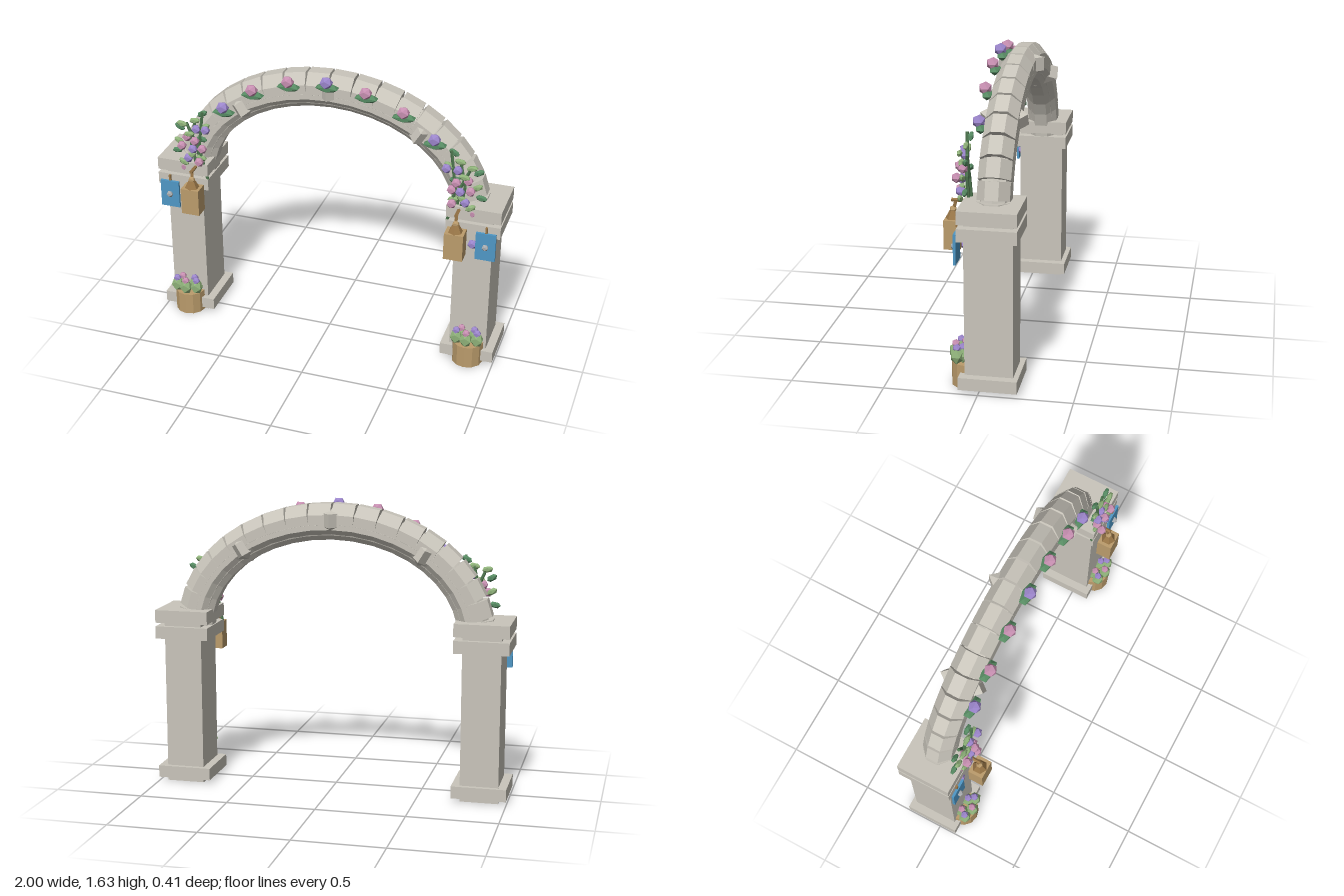
import * as THREE from 'three';

const mat = (name, color, extra = {}) => new THREE.MeshStandardMaterial({ name, color, ...extra });
const stone = mat('stone', 0xc9c5bb);
const tan = mat('tan wood', 0xbb9c6c);
const brown = mat('brown wood', 0x9a7748);
const leafGreen = mat('leaf green', 0x8fb27a);
const deepGreen = mat('deep green', 0x568a62);
const stemGreen = mat('stem green', 0x4f7850);
const pink = mat('pink', 0xc890b2);
const purple = mat('purple', 0x9c86cc);
const blue = mat('blue', 0x4f98c6);
const grey = mat('grey metal', 0xa9adb0);

// Faceted mesh: every face keeps its own normal
function part(parent, name, geometry, material, x = 0, y = 0, z = 0) {
  const g = geometry.index ? geometry.toNonIndexed() : geometry;
  g.computeVertexNormals();
  const mesh = new THREE.Mesh(g, material);
  mesh.name = name;
  mesh.position.set(x, y, z);
  parent.add(mesh);
  return mesh;
}
const box = (w, h, d) => new THREE.BoxGeometry(w, h, d);
const cyl = (a, b, h, n) => new THREE.CylinderGeometry(a, b, h, n);
const ball = (r, sx = 1, sy = 1, sz = 1) => new THREE.IcosahedronGeometry(r, 0).scale(sx, sy, sz);

// Thin rod between two points
function rod(parent, name, a, b, r, material) {
  const p = new THREE.Vector3(...a), q = new THREE.Vector3(...b);
  const mesh = part(parent, name, cyl(r, r, p.distanceTo(q), 5), material);
  mesh.position.copy(p).add(q).multiplyScalar(0.5);
  mesh.quaternion.setFromUnitVectors(new THREE.Vector3(0, 1, 0), q.sub(p).normalize());
}

const ARCH_Z = -0.055, SPRING = 0.9;

// Elliptical centre line of the arch
class ArchCurve extends THREE.Curve {
  constructor(a, b) { super(); this.a = a; this.b = b; }
  getPoint(u, target = new THREE.Vector3()) {
    const t = (u - 0.5) * Math.PI;
    return target.set(this.a * Math.sin(t), SPRING + this.b * Math.cos(t), ARCH_Z);
  }
}

function buildArch(root) {
  const arch = new THREE.Group();
  arch.name = 'arch';
  root.add(arch);
  part(arch, 'archCore', new THREE.TubeGeometry(new ArchCurve(0.79, 0.603), 60, 0.086, 8), stone);

  // Straight octagonal blocks, leaving narrow joints on the outside
  const n = 20, step = Math.PI / n, a = 0.8, b = 0.615;
  for (let i = 0; i < n; i++) {
    const t = -Math.PI / 2 + (i + 0.5) * step;
    const dx = a * Math.cos(t), dy = -b * Math.sin(t);
    const g = cyl(0.108, 0.108, Math.hypot(dx, dy) * step, 8).rotateY(Math.PI / 8).scale(1, 1, 0.86);
    part(arch, 'archBlock', g, stone, a * Math.sin(t), SPRING + b * Math.cos(t), ARCH_Z)
      .rotation.z = Math.atan2(-dx, dy);
  }

  // Pointed stones piercing the arch
  const profile = [[0, -0.085], [0.125, -0.035], [0.125, 0.04], [0, 0.07]].map(p => new THREE.Vector2(...p));
  for (const [x, y, tilt] of [[0, 1.525, 0], [-0.51, 1.35, 0.55], [0.51, 1.35, -0.55]]) {
    part(arch, 'pointedStone', new THREE.LatheGeometry(profile, 4).scale(0.88, 1, 1), stone, x, y, ARCH_Z)
      .rotation.z = tilt;
  }
}

function buildPillar(root, s) {
  const pillar = new THREE.Group();
  pillar.name = s > 0 ? 'leftPillar' : 'rightPillar';
  root.add(pillar);
  const x = s * 0.847, z = -0.051;
  part(pillar, 'pillarShaft', box(0.213, 0.96, 0.256), stone, x, 0.48, z);
  for (const [name, y, h] of [['pillarBase', 0.057, 0.068], ['lowerCap', 0.872, 0.07], ['upperCap', 0.964, 0.072]])
    part(pillar, name, box(0.305, h, 0.31), stone, x, y, z);
}

// Single blooms set on leafy cushions along the arch front
function buildGarland(root) {
  const garland = new THREE.Group();
  garland.name = 'garland';
  root.add(garland);
  const blooms = [[0, 1.598, purple], [0.22, 1.57, pink], [0.43, 1.488, pink], [0.605, 1.356, purple]];
  for (const [bx, y, m] of blooms) {
    for (const s of bx ? [1, -1] : [1]) {
      part(garland, 'bloom', ball(0.037), m, s * bx, y, 0.062);
      part(garland, 'bloomLeaves', ball(0.036, 2, 0.7, 1), deepGreen, s * bx, y - 0.034, 0.047);
    }
  }
}

// Climbing vine with leaves and flowers
function buildVine(root, s) {
  const vine = new THREE.Group();
  vine.name = s > 0 ? 'leftVine' : 'rightVine';
  root.add(vine);
  const stems = [
    [[0.7, 0.9, 0.09], [0.74, 1.1, 0.1], [0.71, 1.33, 0.1]],
    [[0.76, 0.92, 0.08], [0.79, 1.12, 0.09], [0.76, 1.27, 0.09]],
    [[0.74, 0.92, 0.07], [0.76, 1.1, 0.08], [0.82, 1.24, 0.08]],
  ];
  for (const path of stems)
    for (let i = 0; i < 2; i++)
      rod(vine, 'vineStem', ...[path[i], path[i + 1]].map(([x, y, z]) => [s * x, y, z]), 0.009, stemGreen);

  const leaves = [[0.72, 1.31], [0.76, 1.27], [0.83, 1.25], [0.86, 1.21], [0.7, 1.24], [0.79, 1.19], [0.73, 1.15],
    [0.86, 1.13], [0.78, 1.06], [0.88, 1.06], [0.73, 1.04], [0.83, 1.01], [0.76, 0.97]];
  leaves.forEach(([x, y], i) => {
    part(vine, 'vineLeaf', ball(0.022, 1.6, 0.85, 0.7), i % 3 ? leafGreen : deepGreen, s * x, y, 0.08 + (i % 3) * 0.018)
      .rotation.z = s * ((i % 4) - 1.5) * 0.35;
  });

  const flowers = [[0.75, 1.22, purple], [0.69, 1.23, purple], [0.75, 1.16, pink], [0.81, 1.165, pink],
    [0.77, 1.1, purple], [0.83, 1.12, pink], [0.72, 1.1, pink], [0.8, 1.04, purple], [0.73, 1.03, pink],
    [0.84, 0.965, pink], [0.845, 0.77, purple]];
  flowers.forEach(([x, y, m], i) =>
    part(vine, 'vineFlower', ball(0.028), m, s * x, y, y < 1 ? 0.085 : 0.105 + (i % 3) * 0.014));
}

function buildLantern(root, s) {
  const lantern = new THREE.Group();
  lantern.name = s > 0 ? 'leftLantern' : 'rightLantern';
  root.add(lantern);
  const x = s * 0.766, z = 0.166;
  part(lantern, 'lanternBody', box(0.106, 0.157, 0.085), tan, x, 0.803, z);
  part(lantern, 'lanternRoof', cyl(0.018, 0.042, 0.045, 6), brown, x, 0.903, z);
  part(lantern, 'lanternKnot', ball(0.02), tan, x, 0.93, z);
  rod(lantern, 'lanternCord', [x, 0.92, z], [x, 0.985, 0.15], 0.009, brown);
  rod(lantern, 'lanternBracket', [x, 0.98, 0.175], [x, 0.98, 0.09], 0.01, brown);
}

function buildPlaque(root, s) {
  const plaque = new THREE.Group();
  plaque.name = s > 0 ? 'leftPlaque' : 'rightPlaque';
  root.add(plaque);
  const x = s * 0.925;
  part(plaque, 'plaqueBoard', box(0.112, 0.165, 0.014), blue, x, 0.787, 0.117);
  part(plaque, 'plaqueKnob', ball(0.02), grey, x, 0.787, 0.128);
  part(plaque, 'plaqueStrap', box(0.012, 0.045, 0.012), brown, x, 0.882, 0.112);
}

function buildPlanter(root, s) {
  const planter = new THREE.Group();
  planter.name = s > 0 ? 'leftPlanter' : 'rightPlanter';
  root.add(planter);
  const x = s * 0.851;
  part(planter, 'planterTub', cyl(0.088, 0.088, 0.132, 12), tan, x, 0.066, 0.077);
  // Two rows of leafy clumps, each topped with a flower
  for (let i = 0; i < 5; i++) {
    const front = i < 3;
    const px = x + (front ? (i - 1) * 0.06 : (i - 3.5) * 0.075);
    const pz = front ? (i === 1 ? 0.142 : 0.125) : 0.095;
    part(planter, 'planterLeaves', ball(0.038, 1, 1.25, 1), leafGreen, px, 0.175, pz);
    part(planter, 'planterFlower', ball(0.023), i % 2 ? pink : purple, px, 0.217, pz);
  }
}

export function createModel() {
  const root = new THREE.Group();
  root.name = 'flowerArch';
  const model = new THREE.Group();
  model.name = 'archway';
  root.add(model);
  buildArch(model);
  buildGarland(model);
  for (const s of [1, -1]) {
    buildPillar(model, s);
    buildVine(model, s);
    buildLantern(model, s);
    buildPlaque(model, s);
    buildPlanter(model, s);
  }
  return root;
}
